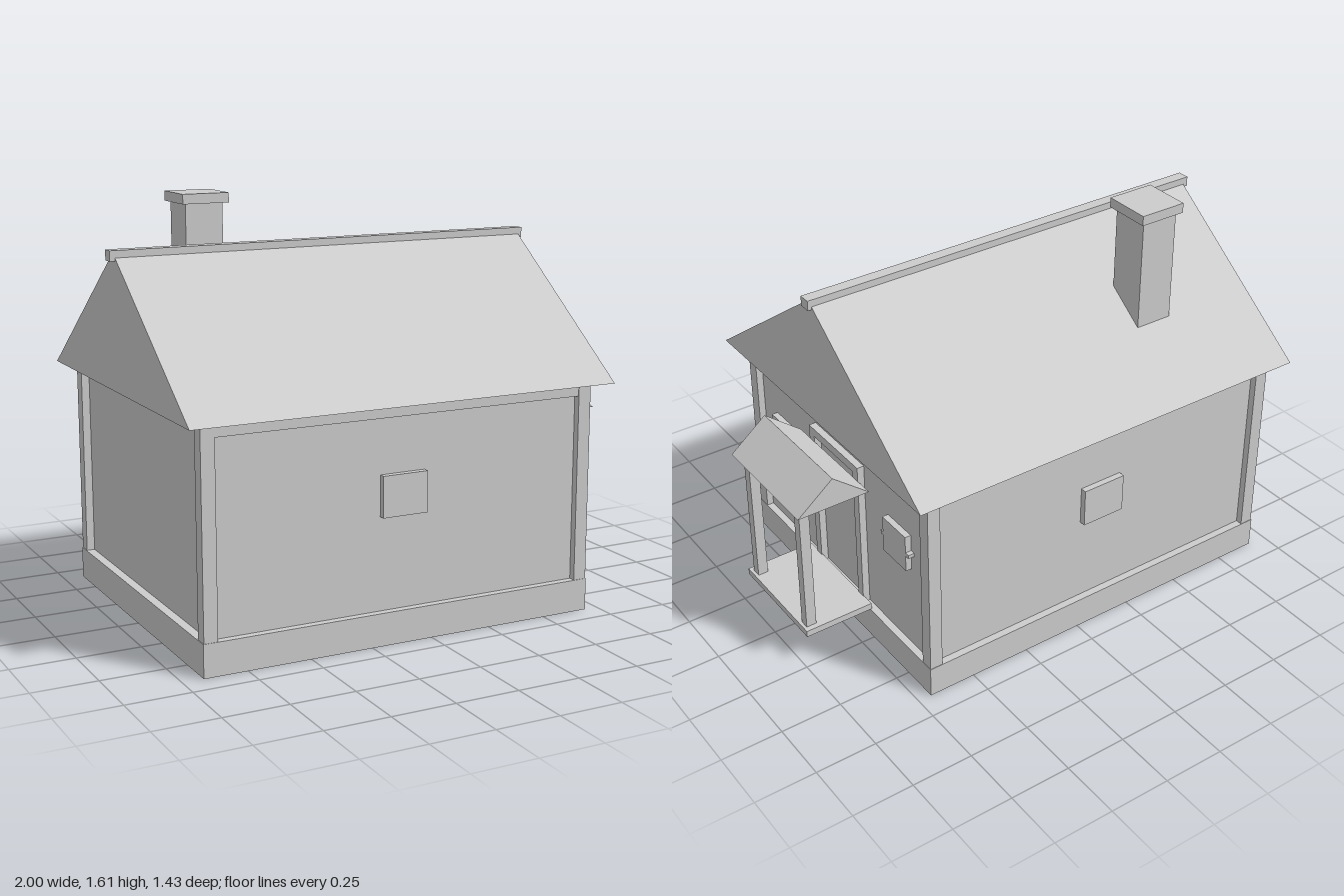
import * as THREE from 'three';

export function createModel() {
  const house = new THREE.Group();
  house.name = 'house';
  const plaster = new THREE.MeshStandardMaterial({ color: 0xcccccc });
  plaster.name = 'light grey';

  const add = (name, geometry) => {
    const mesh = new THREE.Mesh(geometry, plaster);
    mesh.name = name;
    house.add(mesh);
    return mesh;
  };
  // Box given by its extents along each axis
  const box = (name, x0, x1, y0, y1, z0, z1) =>
    add(name, new THREE.BoxGeometry(x1 - x0, y1 - y0, z1 - z0)
      .translate((x0 + x1) / 2, (y0 + y1) / 2, (z0 + z1) / 2));
  // Triangular prism extruded along z
  const prism = (halfWidth, height, length) => {
    const shape = new THREE.Shape();
    shape.moveTo(-halfWidth, 0);
    shape.lineTo(halfWidth, 0);
    shape.lineTo(0, height);
    shape.closePath();
    return new THREE.ExtrudeGeometry(shape, { depth: length, bevelEnabled: false })
      .translate(0, 0, -length / 2);
  };

  // Foundation and walls
  box('foundation', -0.92, 0.695, 0, 0.127, -0.655, 0.655);
  box('walls', -0.885, 0.665, 0.127, 0.91, -0.625, 0.625);

  for (const s of [-1, 1]) {
    const sided = (name, x0, x1, y0, y1, a, b) =>
      box(name, x0, x1, y0, y1, Math.min(s * a, s * b), Math.max(s * a, s * b));

    // Corner posts and eave beams
    sided('cornerPost', -0.917, -0.863, 0.127, 0.91, 0.6, 0.653);
    sided('cornerPost', 0.64, 0.693, 0.127, 0.91, 0.6, 0.653);
    sided('eaveBeam', -0.863, 0.64, 0.86, 0.91, 0.62, 0.65);

    // Long-wall window
    sided('longWallWindow', -0.205, -0.02, 0.487, 0.645, 0.62, 0.65);

    // Gable window with its crossbar
    sided('gableWindow', 0.66, 0.69, 0.49, 0.645, 0.34, 0.495);
    sided('windowCrossbar', 0.66, 0.69, 0.56, 0.575, 0.325, 0.515);

    // Door jambs and porch posts
    sided('doorJamb', 0.66, 0.694, 0.127, 0.735, 0.142, 0.178);
    sided('porchPost', 0.925, 0.967, 0.155, 0.69, 0.172, 0.21);
  }
  box('doorLintel', 0.66, 0.694, 0.735, 0.77, -0.178, 0.178);

  // Main roof with ridge beam
  add('roof', prism(0.715, 0.52, 1.74).rotateY(Math.PI / 2).translate(-0.11, 0.91, 0));
  box('ridgeBeam', -1, 0.775, 1.4, 1.44, -0.024, 0.024);

  // Chimney
  box('chimney', -0.583, -0.427, 1.0, 1.57, -0.428, -0.272);
  box('chimneyCap', -0.6, -0.407, 1.568, 1.607, -0.447, -0.255);

  // Porch floor and roof
  box('porchFloor', 0.69, 0.98, 0.13, 0.157, -0.233, 0.233);
  add('porchRoof', prism(0.152, 0.123, 0.508).translate(0.843, 0.707, 0));

  return house;
}
